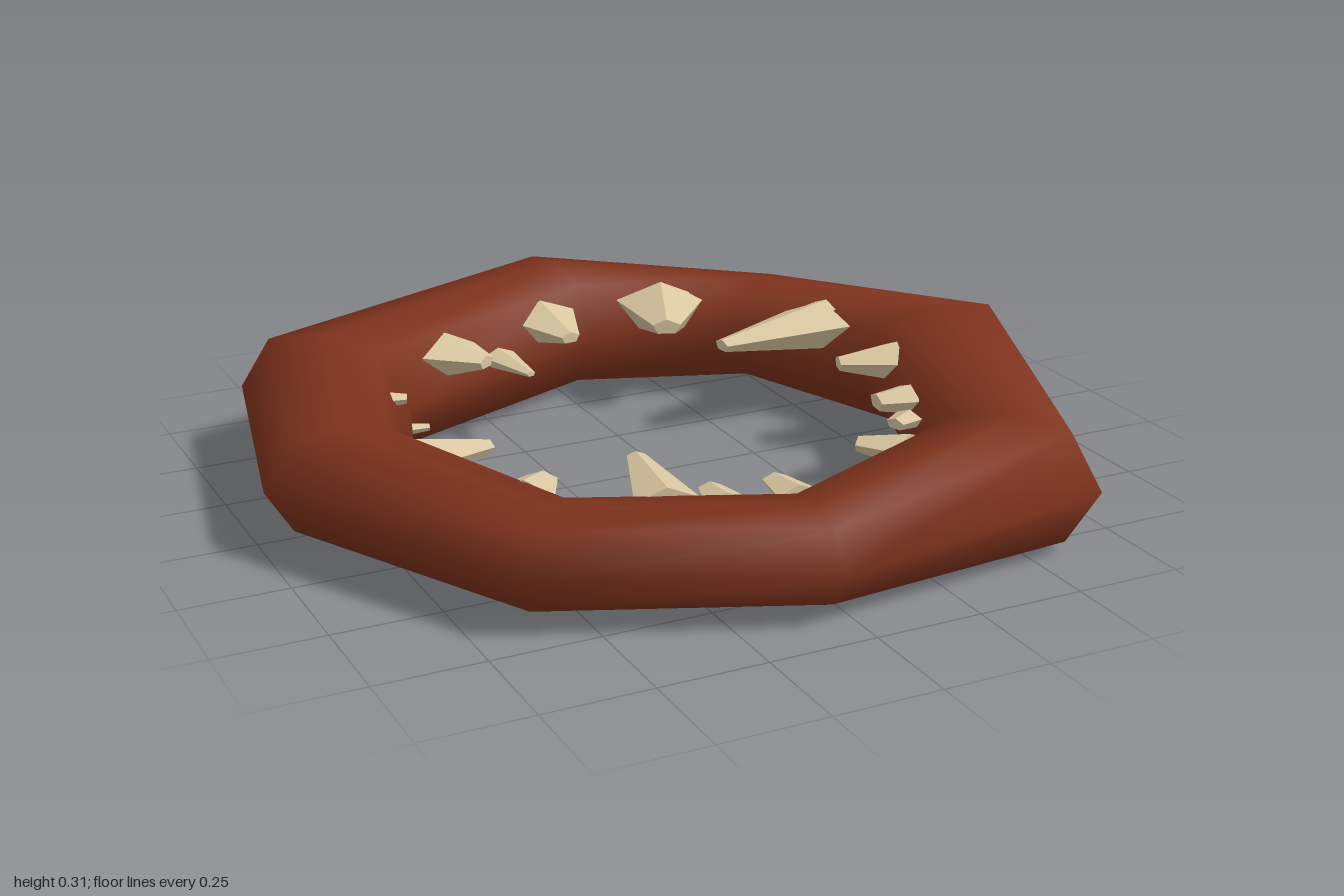
import * as THREE from 'three';

// Ring stations: outer x, z, inner x, z, centre height, half height
const STATIONS = [
  [0.045, -0.965, 0.05, -0.52, 0.16, 0.155],
  [0.63, -0.595, 0.4, -0.36, 0.155, 0.125],
  [0.995, 0, 0.555, 0, 0.16, 0.155],
  [0.635, 0.875, 0.36, 0.57, 0.16, 0.153],
  [-0.055, 0.955, -0.02, 0.645, 0.13, 0.1],
  [-0.665, 0.705, -0.45, 0.5, 0.14, 0.105],
  [-1, 0.08, -0.65, 0.08, 0.16, 0.122],
  [-0.85, -0.595, -0.53, -0.28, 0.16, 0.155],
];
// Cross-section, from outer edge over the top to the inner edge and back below
const SECTION = [[1, 0], [0.64, 0.84], [0, 1], [-0.64, 0.84], [-1, 0], [-0.64, -0.84], [0, -1], [0.64, -0.84]];

// Teeth: base x, z, tip x, z, height, base half width, tip half width
const TEETH = [
  [-0.39, -0.41, -0.32, -0.31, 0.23, 0.1, 0.03],
  [-0.25, -0.41, -0.225, -0.26, 0.2, 0.045, 0.012],
  [-0.08, -0.54, -0.065, -0.385, 0.23, 0.1, 0.027],
  [0.24, -0.5, 0.18, -0.34, 0.235, 0.12, 0.037],
  [0.56, -0.2, 0.24, -0.155, 0.235, 0.11, 0.027],
  [0.58, 0.11, 0.44, 0.07, 0.23, 0.085, 0.03],
  [0.47, 0.35, 0.385, 0.34, 0.23, 0.06, 0.035],
  [0.4, 0.46, 0.35, 0.48, 0.23, 0.037, 0.025],
  [0.31, 0.6, 0.23, 0.52, 0.22, 0.065, 0.03],
  [-0.015, 0.69, -0.015, 0.58, 0.2, 0.052, 0.03],
  [-0.16, 0.64, -0.15, 0.54, 0.19, 0.052, 0.027],
  [-0.285, 0.61, -0.225, 0.33, 0.2, 0.075, 0.022],
  [-0.54, 0.44, -0.46, 0.36, 0.2, 0.075, 0.035],
  [-0.7, 0.14, -0.49, 0.13, 0.2, 0.1, 0.027],
  [-0.67, 0.01, -0.45, -0.025, 0.14, 0.06, 0.025],
  [-0.64, -0.18, -0.58, -0.16, 0.23, 0.035, 0.02],
  [-0.57, -0.22, -0.51, -0.21, 0.13, 0.025, 0.015],
];

// Closed eight-sided loft through the stations
function ringGeometry() {
  const pos = [], idx = [];
  const n = STATIONS.length, m = SECTION.length;
  STATIONS.forEach(([ox, oz, ix, iz, cy, h], i) => {
    SECTION.forEach(([r, v], j) => {
      pos.push((ox + ix) / 2 + r * (ox - ix) / 2, cy + v * h, (oz + iz) / 2 + r * (oz - iz) / 2);
      const i2 = (i + 1) % n, j2 = (j + 1) % m;
      const a = i * m + j, b = i * m + j2, c = i2 * m + j2, d = i2 * m + j;
      idx.push(a, b, d, b, c, d);
    });
  });
  const geo = new THREE.BufferGeometry();
  geo.setAttribute('position', new THREE.Float32BufferAttribute(pos, 3));
  geo.setIndex(idx);
  geo.computeVertexNormals();
  return geo;
}

// Flattened, blunt five-sided spike lying level from base to tip
function toothGeometry([bx, bz, tx, tz, y, baseR, tipR]) {
  const dir = new THREE.Vector3(tx - bx, 0, tz - bz);
  const length = dir.length();
  dir.normalize();
  const up = new THREE.Vector3(0, 1, 0);
  const side = new THREE.Vector3().crossVectors(dir, up);
  const geo = new THREE.CylinderGeometry(tipR, baseR, length, 5);
  geo.scale(1, 1, 0.55);
  geo.applyMatrix4(new THREE.Matrix4().makeBasis(side, dir, up));
  return geo.translate((bx + tx) / 2, y, (bz + tz) / 2);
}

export function createModel() {
  const group = new THREE.Group();
  const flesh = new THREE.MeshStandardMaterial({ color: 0x7d321c });
  const bone = new THREE.MeshStandardMaterial({ color: 0xd8c6a0, flatShading: true });

  const ring = new THREE.Mesh(ringGeometry(), flesh);
  ring.name = 'ring';
  group.add(ring);

  const teeth = new THREE.Group();
  teeth.name = 'teeth';
  TEETH.forEach((spec, i) => {
    const tooth = new THREE.Mesh(toothGeometry(spec), bone);
    tooth.name = `tooth${i + 1}`;
    teeth.add(tooth);
  });
  group.add(teeth);
  return group;
}
